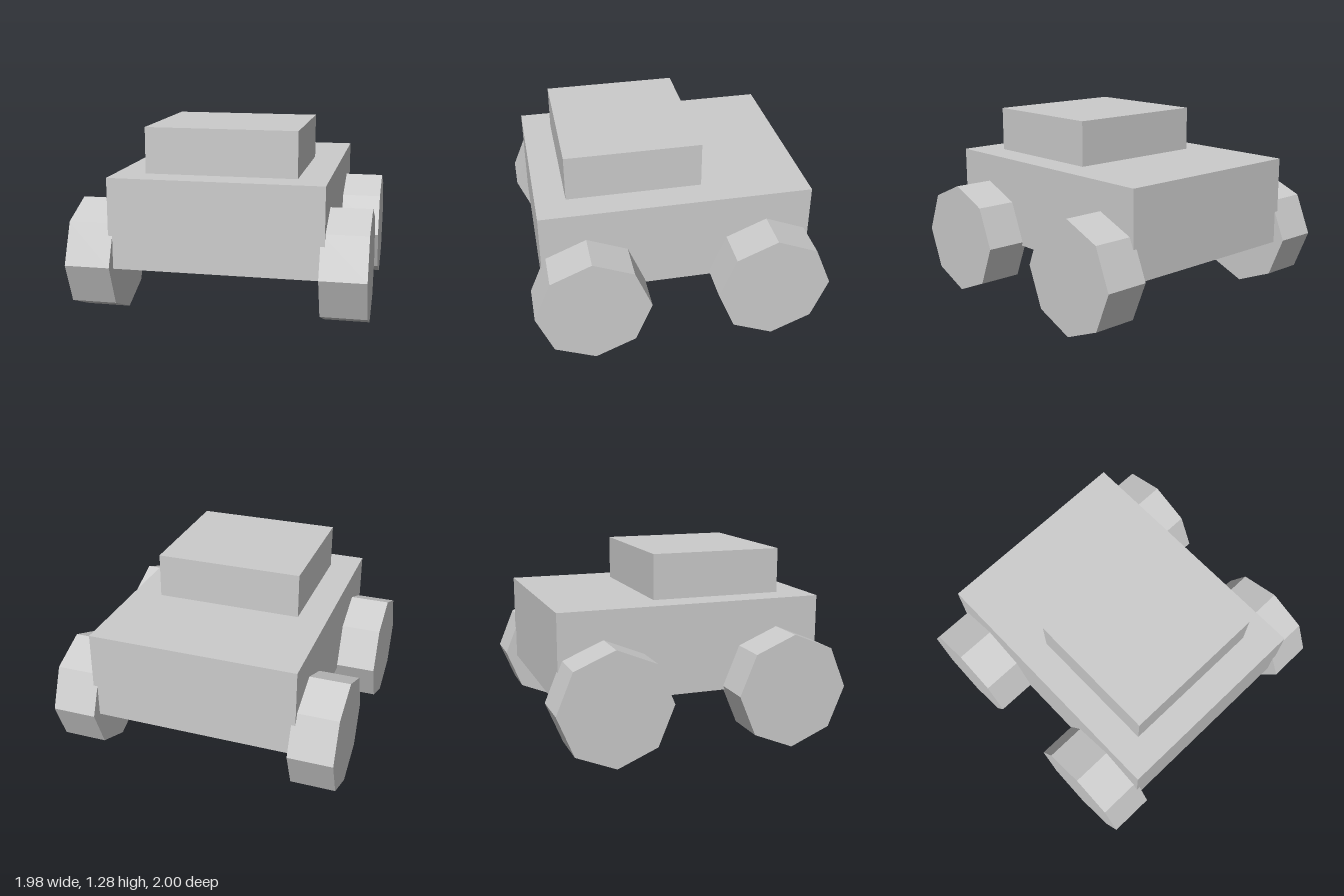
import * as THREE from 'three';

export function createModel() {
  const model = new THREE.Group();
  model.name = 'car';
  const grey = new THREE.MeshStandardMaterial({ color: 0xcccccc });
  grey.name = 'light grey';
  grey.flatShading = true;

  const add = (name, geometry, x, y, z) => {
    const mesh = new THREE.Mesh(geometry, grey);
    mesh.name = name;
    mesh.position.set(x, y, z);
    model.add(mesh);
  };

  // Main body and the cabin standing on it
  add('body', new THREE.BoxGeometry(1.426, 0.61, 1.836), 0, 0.666, 0);
  add('cabin', new THREE.BoxGeometry(1.02, 0.31, 0.917), 0, 1.126, 0.255);

  // Eight-sided wheels, a corner pointing down
  const radius = 0.387;
  const wheel = new THREE.CylinderGeometry(radius, radius, 0.305, 8).rotateZ(Math.PI / 2);
  for (const [side, x] of [['Left', 0.837], ['Right', -0.837]]) {
    for (const [end, z] of [['front', 0.613], ['back', -0.613]]) {
      add(`${end}${side}Wheel`, wheel, x, radius, z);
    }
  }
  return model;
}
